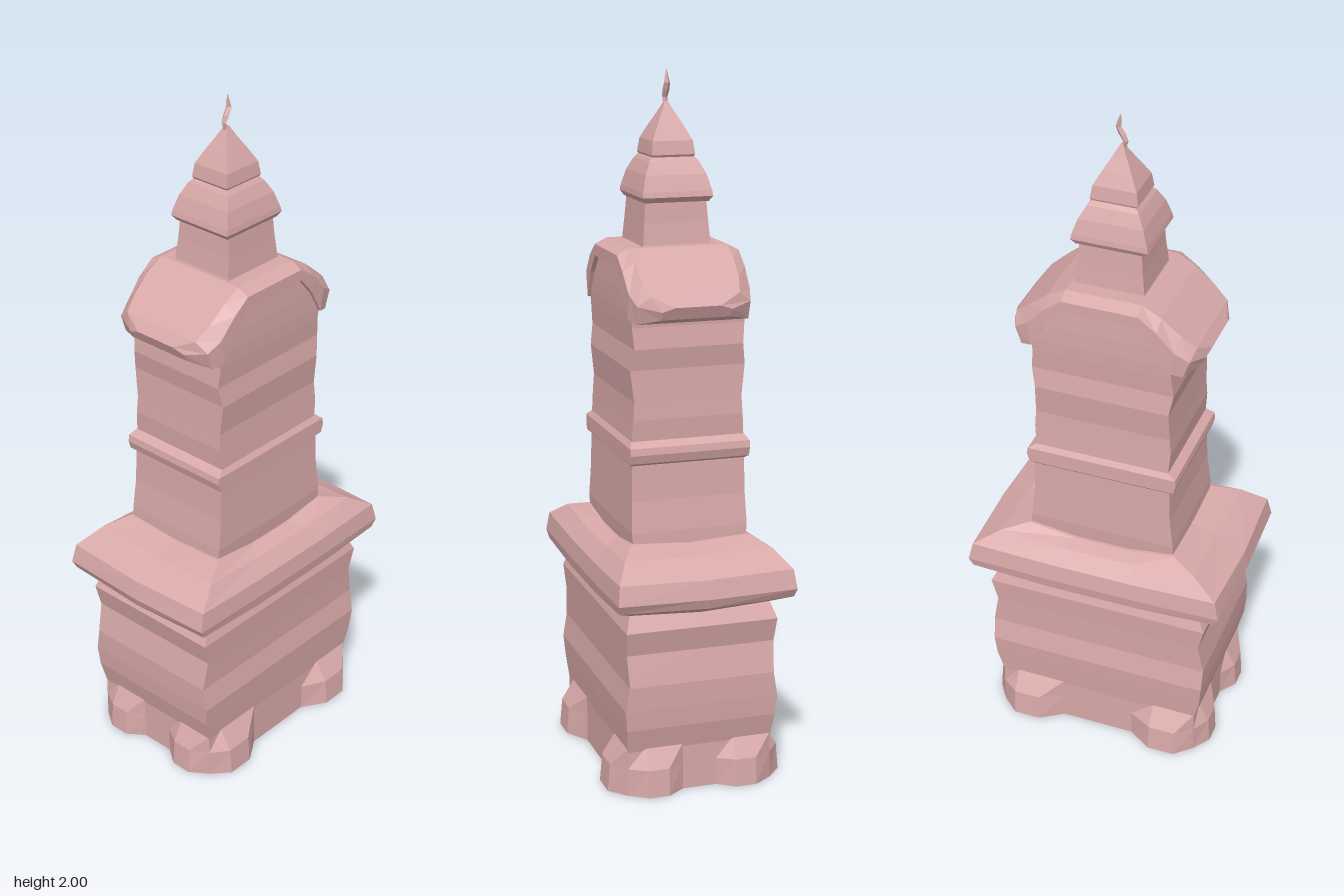
import * as THREE from 'three';

const stone = new THREE.MeshStandardMaterial({ color: 0xd8a8a8, flatShading: true });
stone.name = 'pinkStone';

// Skins a row of matching closed rings and caps both ends.
function loft(name, rings) {
  const pos = [];
  const tri = (a, b, c) => pos.push(...a, ...b, ...c);
  const n = rings[0].length;
  for (let r = 0; r + 1 < rings.length; r++) {
    for (let i = 0; i < n; i++) {
      const j = (i + 1) % n;
      const [a, b, c, d] = [rings[r][i], rings[r][j], rings[r + 1][j], rings[r + 1][i]];
      tri(a, b, c);
      tri(a, c, d);
    }
  }
  const centre = ring => [0, 1, 2].map(k => ring.reduce((s, p) => s + p[k], 0) / n);
  const first = rings[0], last = rings[rings.length - 1];
  const c0 = centre(first), c1 = centre(last);
  for (let i = 0; i < n; i++) {
    const j = (i + 1) % n;
    tri(c0, first[j], first[i]);
    tri(c1, last[i], last[j]);
  }
  const geometry = new THREE.BufferGeometry();
  geometry.setAttribute('position', new THREE.Float32BufferAttribute(pos, 3));
  geometry.computeVertexNormals();
  const mesh = new THREE.Mesh(geometry, stone);
  mesh.name = name;
  return mesh;
}

// Rectangular ring; the middles of the edges can sag and bow outwards.
function rect([y, hx, hz, sag = 0, bow = 0]) {
  const m = hx * 0.36;
  return [
    [-hx, y, hz], [-m, y - sag, hz], [m, y - sag, hz],
    [hx, y, hz], [hx + bow, y - sag / 2, 0],
    [hx, y, -hz], [m, y - sag, -hz], [-m, y - sag, -hz],
    [-hx, y, -hz], [-hx - bow, y - sag / 2, 0],
  ];
}
const tower = (name, rows) => loft(name, rows.map(rect));

// Foot outline: two bulges on every side, shrinking to the wall at the top.
function footRing(y, out) {
  const w = 0.31, d = 0.213;
  const quarter = [
    [0.11, d], [0.18, d + out], [0.26, d + out], [w, d],
    [w + out * 0.8, 0.16], [w + out * 0.8, 0.1], [w, 0.05],
  ];
  const flip = (sx, sz) => quarter.map(([x, z]) => [x * sx, y, z * sz]);
  return [
    ...flip(1, 1), ...flip(1, -1).reverse(),
    ...flip(-1, -1), ...flip(-1, 1).reverse(),
  ];
}

export function createModel() {
  const model = new THREE.Group();
  model.name = 'stoneTower';

  model.add(loft('bulgingFoot', [
    footRing(0, 0.045), footRing(0.08, 0.038), footRing(0.14, 0),
  ]));

  model.add(tower('lowerBody', [
    [0.13, 0.31, 0.213], [0.2, 0.328, 0.22], [0.26, 0.333, 0.225],
    [0.33, 0.335, 0.213], [0.42, 0.318, 0.217], [0.49, 0.335, 0.222],
    [0.54, 0.31, 0.205],
  ]));

  model.add(tower('lowerCornice', [
    [0.535, 0.31, 0.205, 0.022], [0.565, 0.375, 0.255, 0.012, 0.01],
    [0.59, 0.388, 0.26, 0.005, 0.008], [0.645, 0.375, 0.253, 0.008, 0.01],
    [0.69, 0.3, 0.215, 0.012], [0.712, 0.225, 0.175, 0.02],
  ]));

  model.add(tower('middleBody', [
    [0.68, 0.22, 0.165], [0.74, 0.218, 0.17], [0.83, 0.207, 0.167],
    [0.94, 0.203, 0.165],
  ]));

  model.add(tower('beltTrim', [
    [0.93, 0.2, 0.165], [0.94, 0.217, 0.175], [0.965, 0.225, 0.175],
    [0.985, 0.222, 0.175], [1.0, 0.2, 0.165],
  ]));

  // Upper body, narrowing into the arch under the roof
  model.add(tower('upperBody', [
    [0.99, 0.198, 0.165], [1.06, 0.203, 0.16], [1.11, 0.2, 0.157],
    [1.2, 0.197, 0.167], [1.26, 0.208, 0.158], [1.32, 0.202, 0.163],
    [1.36, 0.205, 0.165], [1.41, 0.165, 0.165], [1.47, 0.115, 0.163],
    [1.49, 0.1, 0.16],
  ]));

  // Arched roof: chamfered sections swept from eave to eave
  // Each entry: outer x, outer y, inner x, inner y, half depth
  const half = [
    [0.285, 1.385, 0.268, 1.35, 0.1], [0.262, 1.415, 0.235, 1.335, 0.162],
    [0.22, 1.45, 0.2, 1.345, 0.174], [0.165, 1.495, 0.158, 1.42, 0.177],
    [0.11, 1.525, 0.11, 1.475, 0.177],
  ];
  const stations = [
    ...half.map(([ox, oy, ix, iy, hz]) => [-ox, oy, -ix, iy, hz]),
    ...half.slice().reverse(),
  ];
  model.add(loft('archedRoof', stations.map(([ox, oy, ix, iy, hz]) => {
    const mx = ox * 0.65 + ix * 0.35, my = oy * 0.65 + iy * 0.35, t = hz - 0.035;
    return [
      [ix, iy, -hz], [mx, my, -hz], [ox, oy, -t],
      [ox, oy, t], [mx, my, hz], [ix, iy, hz],
    ];
  })));

  model.add(tower('neck', [
    [1.5, 0.107, 0.102], [1.53, 0.1, 0.098], [1.59, 0.093, 0.093], [1.66, 0.088, 0.088],
  ]));

  model.add(tower('spireCap', [
    [1.645, 0.098, 0.093], [1.66, 0.11, 0.102], [1.675, 0.107, 0.1],
    [1.72, 0.092, 0.088], [1.755, 0.073, 0.071], [1.77, 0.06, 0.058],
  ]));

  model.add(tower('spireTip', [
    [1.76, 0.06, 0.058], [1.772, 0.068, 0.063], [1.81, 0.062, 0.058],
    [1.85, 0.04, 0.038], [1.885, 0.02, 0.019], [1.915, 0.004, 0.004],
  ]));

  // Curled finial: height, x offset, half width, half depth
  const curl = [
    [1.9, -0.004, 0.006, 0.005], [1.925, -0.01, 0.008, 0.008],
    [1.945, 0, 0.011, 0.01], [1.965, 0.01, 0.008, 0.009],
    [1.985, 0.006, 0.005, 0.005], [2.0, 0.004, 0.001, 0.001],
  ];
  model.add(loft('curledFinial', curl.map(([y, x, w, d]) => [
    [x - w, y, 0], [x, y, d], [x + w, y, 0], [x, y, -d],
  ])));

  return model;
}
